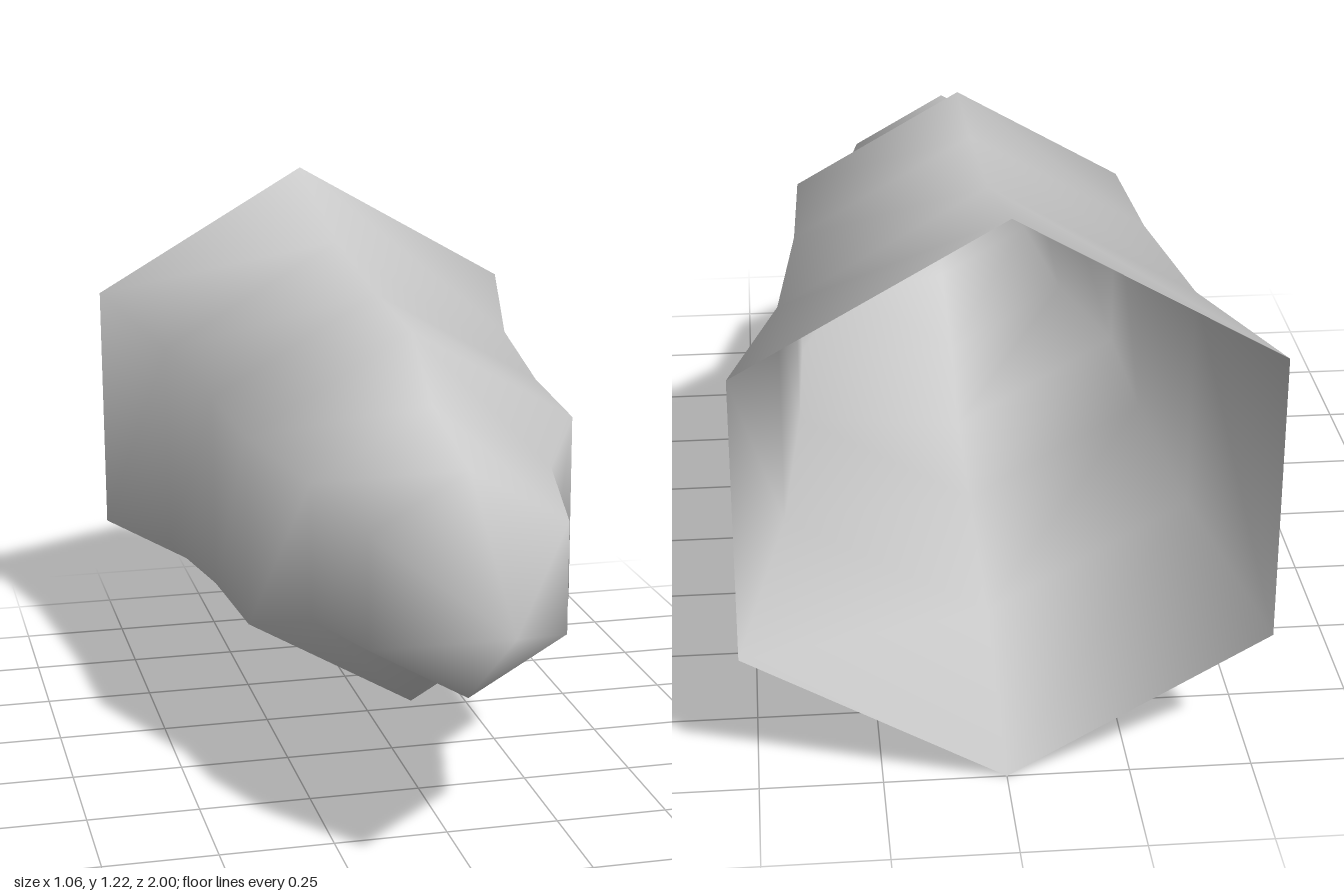
import * as THREE from 'three';
import { mergeVertices } from 'three/addons/utils/BufferGeometryUtils.js';

export function createModel() {
  const group = new THREE.Group();
  const grey = new THREE.MeshStandardMaterial({ color: 0xcccccc, side: THREE.DoubleSide });
  grey.name = 'light grey';

  // [radius, z] from the open rear rim to the pointed tip
  const profile = [
    [0.612, -1], [0.495, -0.56], [0.445, -0.15], [0.427, 0.18],
    [0.306, 0.36], [0.244, 0.66], [0, 1],
  ].map(([r, z]) => new THREE.Vector2(r, z));

  // Six-sided shell, welded so shading is smooth all round and over the tip
  let shell = new THREE.LatheGeometry(profile, 6);
  shell.deleteAttribute('uv');
  shell.deleteAttribute('normal');
  shell = mergeVertices(shell, 1e-4);
  shell.computeVertexNormals();
  shell.rotateX(Math.PI / 2);

  const mesh = new THREE.Mesh(shell, grey);
  mesh.name = 'hexagonalSpike';
  mesh.position.y = 0.612;
  group.add(mesh);
  return group;
}
